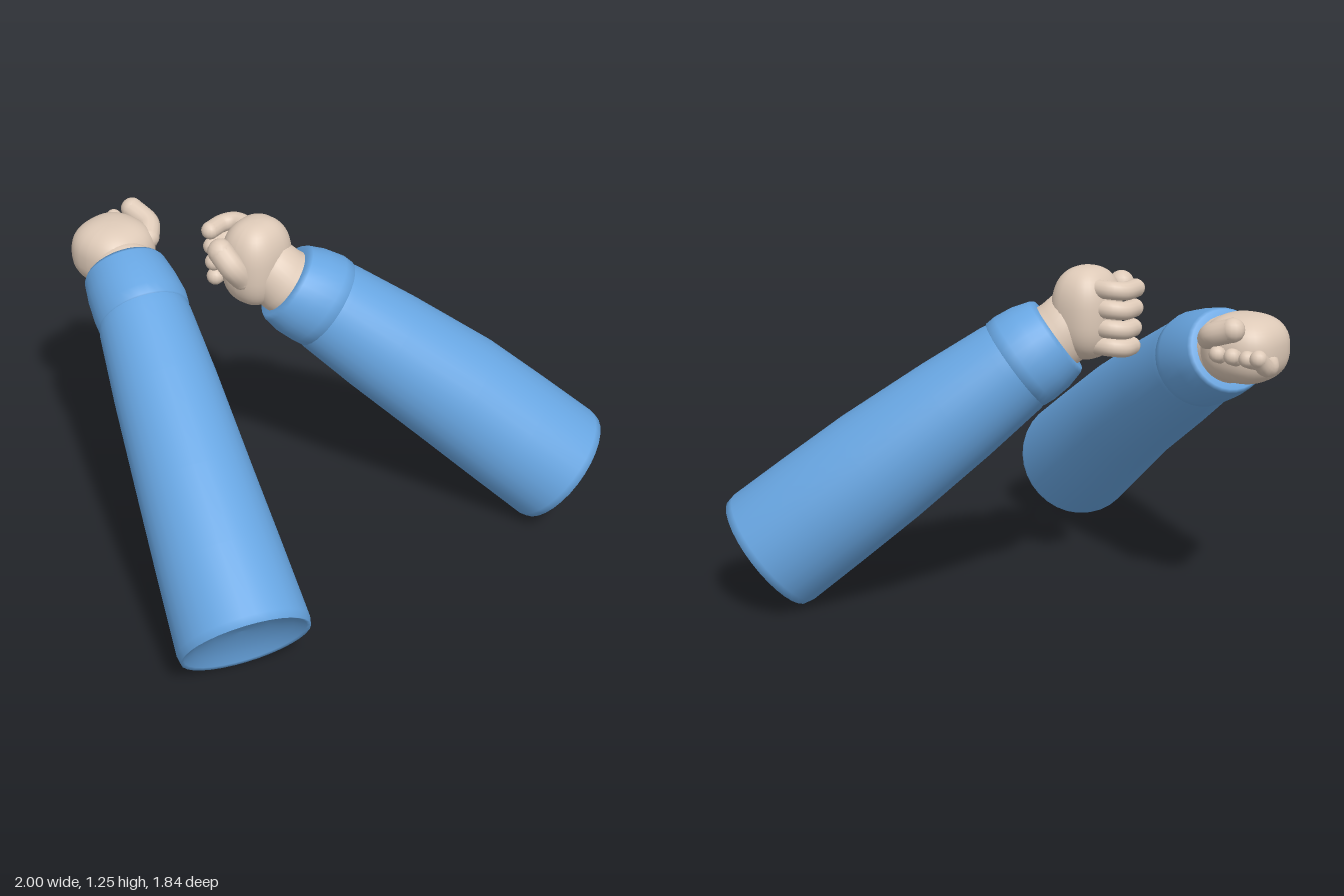
import * as THREE from 'three';
import { mergeGeometries } from 'three/addons/utils/BufferGeometryUtils.js';

const V = (p) => new THREE.Vector3(...p);

// Rings [x, y, z, radius] square to one axis, joined into a smooth skin
function sweep(rings, axis, sides = 32) {
  const u = new THREE.Vector3().crossVectors(axis, new THREE.Vector3(0, 1, 0)).normalize();
  const v = new THREE.Vector3().crossVectors(axis, u).normalize();
  const pos = [], idx = [];
  rings.forEach(([x, y, z, r], i) => {
    for (let j = 0; j < sides; j++) {
      const t = (j / sides) * Math.PI * 2;
      const p = new THREE.Vector3(x, y, z)
        .addScaledVector(u, Math.cos(t) * r).addScaledVector(v, Math.sin(t) * r);
      pos.push(p.x, p.y, p.z);
      if (i < rings.length - 1) {
        const a = i * sides + j, b = i * sides + (j + 1) % sides;
        idx.push(a, b, a + sides, b, b + sides, a + sides);
      }
    }
  });
  const g = new THREE.BufferGeometry();
  g.setAttribute('position', new THREE.Float32BufferAttribute(pos, 3));
  g.setIndex(idx);
  g.computeVertexNormals();
  return g;
}

// Bent round finger with domed ends
function digit(points, r) {
  const pts = points.map(V);
  const parts = [new THREE.TubeGeometry(new THREE.CatmullRomCurve3(pts), 16, r, 14)];
  for (const p of [pts[0], pts[pts.length - 1]]) {
    parts.push(new THREE.SphereGeometry(r, 14, 10).translate(p.x, p.y, p.z));
  }
  return mergeGeometries(parts);
}

// Slightly squared ellipsoid
function softBlock(center, radii) {
  const g = new THREE.SphereGeometry(1, 32, 24);
  const p = g.attributes.position;
  const soft = (n) => Math.sign(n) * Math.abs(n) ** 0.8;
  for (let i = 0; i < p.count; i++) p.setXYZ(i, soft(p.getX(i)), soft(p.getY(i)), soft(p.getZ(i)));
  g.scale(...radii);
  g.computeVertexNormals();
  return g.translate(...center);
}

export function createModel() {
  const model = new THREE.Group();
  model.name = 'armPair';
  const blue = new THREE.MeshStandardMaterial({ color: 0x68a6e2 });
  blue.name = 'sleeveBlue';
  const skin = new THREE.MeshStandardMaterial({ color: 0xdecab8 });
  skin.name = 'skin';

  const arms = [
    {
      name: 'leftArm',
      open: [0.79, 0.19, 0.74], mid: [0.555, 0.52, 0.395], cuff: [0.24, 0.905, 0.0], end: [0.14, 1.0, -0.10],
      midRadius: 0.228, cuffRadius: 0.18,
      palm: [[0.082, 1.085, -0.185], [0.13, 0.168, 0.113]],
      wristTo: [0.1, 1.07, -0.15],
      thumb: [[[-0.015, 1.06, -0.17], [-0.06, 1.12, -0.18], [-0.066, 1.17, -0.23]], 0.047],
      fingers: [1.185, 1.115, 1.045, 0.98].map((y, i) => [
        [[0.12, y, -0.24], [0.115, y, -0.315], [0.08, y - 0.005, -0.345], [0.01 + i * 0.008, y - 0.005, -0.345]], 0.033]),
    },
    {
      name: 'rightArm',
      open: [-0.79, 0.205, 0.5], mid: [-0.545, 0.54, 0.06], cuff: [-0.235, 0.89, -0.465], end: [-0.145, 0.97, -0.64],
      midRadius: 0.212, cuffRadius: 0.175,
      palm: [[-0.1, 1.0, -0.735], [0.146, 0.122, 0.147]],
      wristTo: [-0.12, 0.99, -0.7],
      thumb: [[[0.0, 1.04, -0.65], [0.045, 1.065, -0.69], [0.05, 1.095, -0.775]], 0.043],
      fingers: [
        ...[-0.72, -0.78, -0.84].map((z) => [[[-0.08, 0.985, z], [0.0, 0.985, z], [0.06, 1.005, z]], 0.029]),
        [[[-0.1, 0.985, -0.83], [-0.03, 0.965, -0.878], [0.02, 0.975, -0.89], [0.062, 1.012, -0.887]], 0.031],
      ],
    },
  ];

  for (const a of arms) {
    const arm = new THREE.Group();
    arm.name = a.name;
    const add = (name, geometry, material) => {
      const m = new THREE.Mesh(geometry, material);
      m.name = name;
      arm.add(m);
    };

    // Sleeve, starting from the shallow smooth dish in its lower end
    const o = V(a.open), m = V(a.mid), c = V(a.cuff), e = V(a.end);
    const axis = c.clone().sub(o).normalize();
    const at = (p, d, dir, r) => [...p.clone().addScaledVector(dir, d).toArray(), r];
    const R = a.cuffRadius;
    add('sleeve', sweep([
      at(o, 0.05, axis, 0.001), at(o, 0.045, axis, 0.1), at(o, 0.025, axis, 0.18), at(o, 0.005, axis, 0.222),
      at(o, 0, axis, 0.235), at(o, 0.03, axis, 0.241),
      [...o.clone().lerp(m, 0.5).toArray(), (0.24 + a.midRadius) / 2 + 0.002],
      [...m.toArray(), a.midRadius],
      [...m.clone().lerp(c, 0.55).toArray(), (a.midRadius + R) / 2],
      at(c, -0.04, axis, R), at(c, 0.02, axis, R - 0.012),
    ], axis), blue);

    // Cuff, rolled in toward the wrist
    const cuffAxis = e.clone().sub(c).normalize().lerp(axis, 0.5).normalize();
    add('cuff', sweep([
      at(c, -0.02, cuffAxis, R - 0.02), at(c, -0.015, cuffAxis, R - 0.001), at(c, 0.025, cuffAxis, R + 0.002),
      [...c.clone().lerp(e, 0.55).toArray(), R - 0.005],
      at(e, -0.015, cuffAxis, 0.157), at(e, 0, cuffAxis, 0.146), at(e, -0.005, cuffAxis, 0.1), at(e, -0.005, cuffAxis, 0.001),
    ], cuffAxis), blue);

    // Hand
    const w = V(a.wristTo);
    add('wrist', sweep([
      at(e, -0.03, cuffAxis, 0.125), at(e, 0.02, cuffAxis, 0.122),
      [...w.toArray(), 0.11], at(w, 0.05, cuffAxis, 0.06), at(w, 0.06, cuffAxis, 0.001),
    ], cuffAxis), skin);
    add('palm', softBlock(...a.palm), skin);
    add('thumb', digit(...a.thumb), skin);
    a.fingers.forEach((f, i) => add('finger' + (i + 1), digit(...f), skin));
    model.add(arm);
  }
  return model;
}
